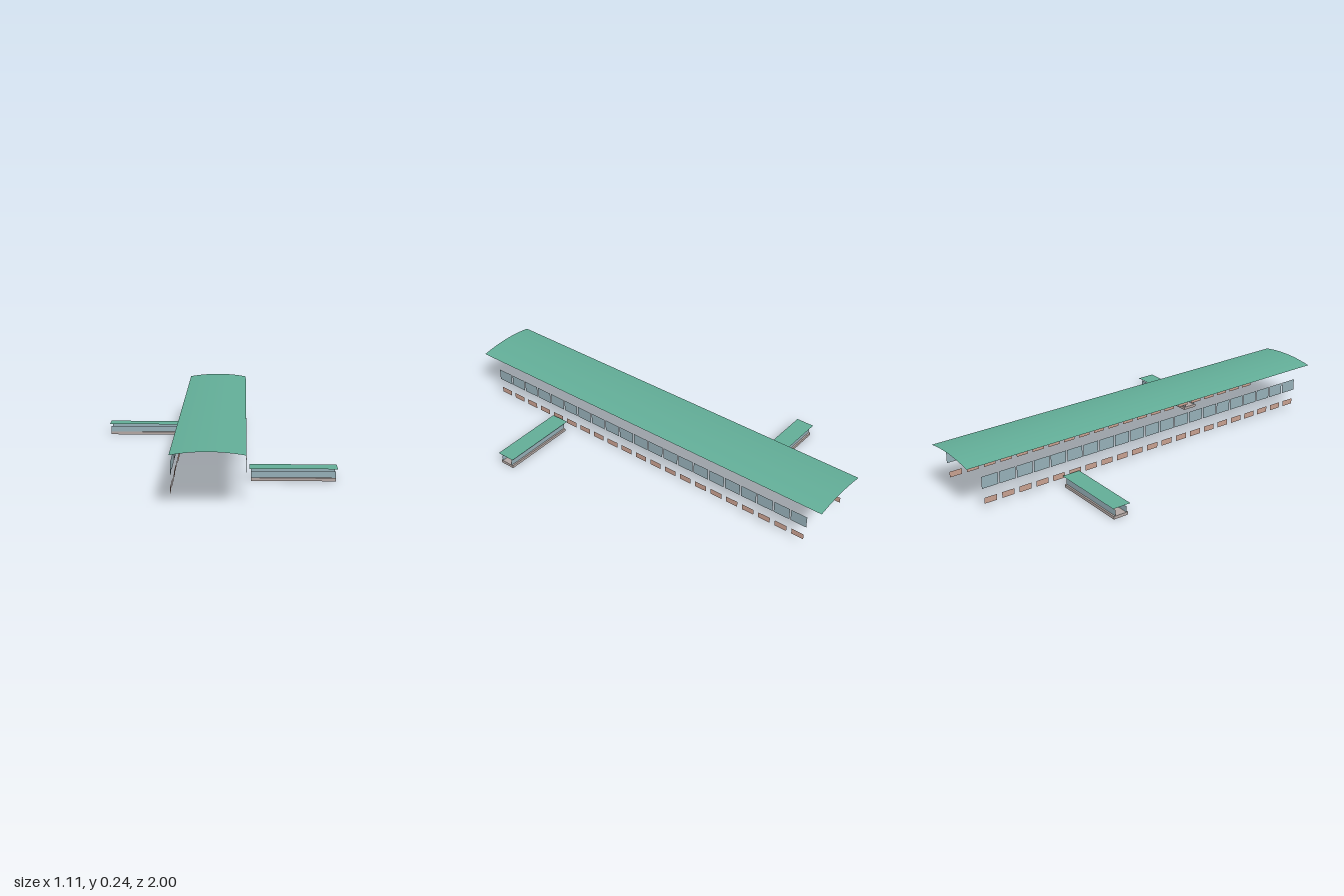
import * as THREE from 'three';

const material = (name, color) => {
  const m = new THREE.MeshStandardMaterial({ color, side: THREE.DoubleSide });
  m.name = name;
  return m;
};

export function createModel() {
  const green = material('green roof', 0x62ad97);
  const glass = material('blue grey glass', 0x96b0b8);
  const brick = material('pale brick', 0xc8a090);
  const stone = material('warm grey base', 0xb3a8a4);

  const model = new THREE.Group();
  model.name = 'stationHall';

  const add = (parent, name, geometry, mat, x, y, z) => {
    const mesh = new THREE.Mesh(geometry, mat);
    mesh.name = name;
    mesh.position.set(x, y, z);
    parent.add(mesh);
    return mesh;
  };

  // Long, shallow arched roof
  const halfWidth = 0.154;
  const roof = new THREE.PlaneGeometry(halfWidth * 2, 2, 16, 1).rotateX(-Math.PI / 2);
  const p = roof.attributes.position;
  for (let i = 0; i < p.count; i++) {
    const t = p.getX(i) / halfWidth;
    p.setY(i, 0.236 - 0.014 * t * t);
  }
  roof.computeVertexNormals();
  add(model, 'archedRoof', roof, green, 0, 0, 0);

  // Two rows of windows with small panels beneath them
  const windowPane = new THREE.PlaneGeometry(0.081, 0.057);
  const lowerPanel = new THREE.PlaneGeometry(0.062, 0.028);
  for (const side of [-1, 1]) {
    const row = new THREE.Group();
    row.name = side > 0 ? 'leftWall' : 'rightWall';
    for (let i = 0; i < 21; i++) {
      const z = 0.861 - 0.0877 * i;
      const pane = add(row, 'window', windowPane, glass, side * 0.155, 0.14, z);
      const panel = add(row, 'lowerPanel', lowerPanel, brick, side * 0.155, 0.051, z);
      pane.rotation.y = panel.rotation.y = side * Math.PI / 2;
    }
    model.add(row);
  }

  // Side corridors: flat canopy, glass walls, low base, open ends
  const canopy = new THREE.PlaneGeometry(0.386, 0.09).rotateX(-Math.PI / 2);
  const wall = new THREE.PlaneGeometry(0.372, 0.029);
  const base = new THREE.BoxGeometry(0.372, 0.014, 0.074);
  for (const side of [-1, 1]) {
    const corridor = new THREE.Group();
    corridor.name = side > 0 ? 'leftCorridor' : 'rightCorridor';
    corridor.position.set(side * 0.361, 0, side * 0.487);
    add(corridor, 'canopy', canopy, green, 0, 0.056, 0);
    add(corridor, 'base', base, stone, 0, 0.007, 0);
    for (const s of [-1, 1]) {
      const w = add(corridor, 'glassWall', wall, glass, 0, 0.0285, s * 0.029);
      if (s < 0) w.rotation.y = Math.PI;
    }
    model.add(corridor);
  }

  return model;
}
